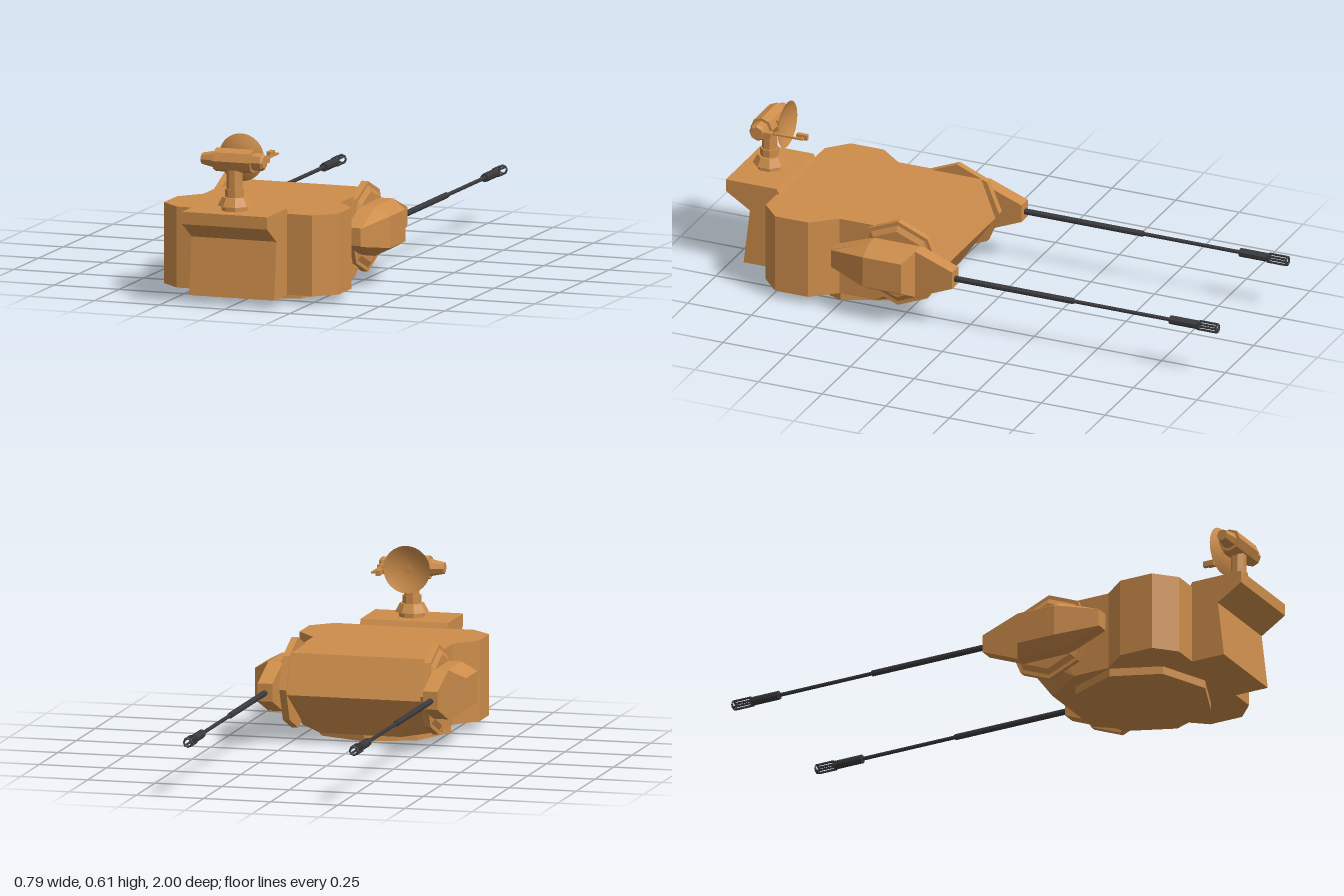
import * as THREE from 'three';
import { ConvexGeometry } from 'three/addons/geometries/ConvexGeometry.js';

const paint = new THREE.MeshStandardMaterial({ color: 0xcd8d4b, flatShading: true });
const dishPaint = new THREE.MeshStandardMaterial({ color: 0xcd8d4b, side: THREE.DoubleSide });
const gunmetal = new THREE.MeshStandardMaterial({ color: 0x3a3a3d, flatShading: true });

function add(parent, name, geometry, material = paint, x = 0, y = 0, z = 0) {
  const mesh = new THREE.Mesh(geometry, material);
  mesh.name = name;
  mesh.position.set(x, y, z);
  parent.add(mesh);
  return mesh;
}

const box = (w, h, d) => new THREE.BoxGeometry(w, h, d);
const hull = (pts) => new ConvexGeometry(pts.map((p) => new THREE.Vector3(...p)));
const mirrorX = (pts) => pts.flatMap(([x, y, z]) => [[x, y, z], [-x, y, z]]);
const shapeOf = (pts) => new THREE.Shape(pts.map((p) => new THREE.Vector2(...p)));

// Side profile given as [z, y], extruded from x0 to x1
function sideExtrude(pts, x0, x1) {
  const flipped = pts.map(([z, y]) => [-z, y]);
  const g = new THREE.ExtrudeGeometry(shapeOf(flipped), { depth: x1 - x0, bevelEnabled: false });
  return g.rotateY(Math.PI / 2).translate(x0, 0, 0);
}

// Eight-sided drum along x from x0 to x1
function drumX(x0, r0, x1, r1) {
  const g = new THREE.CylinderGeometry(r1, r0, x1 - x0, 8);
  return g.rotateZ(-Math.PI / 2).translate((x0 + x1) / 2, 0, 0);
}

function createHull(parent) {
  // Rear hull with swollen, chamfered cheeks
  const half = [[0.26, 0.4], [0.26, 0.51], [0.335, 0.6], [0.335, 0.73], [0.26, 0.8]];
  const outline = [...half, ...half.map(([x, z]) => [-x, z]).reverse()];
  const rear = new THREE.ExtrudeGeometry(shapeOf(outline.map(([x, z]) => [x, -z])), { depth: 0.295, bevelEnabled: false });
  rear.rotateX(-Math.PI / 2);
  add(parent, 'hullRear', rear, paint, 0, 0.03, 0);

  // Wedge nose, sloping in above and below the lip
  add(parent, 'hullNose', hull(mirrorX([
    [0.26, 0.325, 0.4], [0.26, 0.03, 0.4], [0.26, 0.325, 0.18],
    [0.25, 0.18, 0.125], [0.15, 0.03, 0.22], [0.26, 0.03, 0.37],
  ])));

  // Overhanging rear bustle
  add(parent, 'bustle', sideExtrude([
    [0.79, 0.03], [0.93, 0.03], [0.905, 0.24], [1, 0.3], [1, 0.345], [0.8, 0.345], [0.79, 0.325],
  ], -0.163, 0.163));

  add(parent, 'turretRing', new THREE.CylinderGeometry(0.253, 0.253, 0.03, 8), paint, 0, 0.015, 0.51);
}

function createGun(side) {
  const gun = new THREE.Group();
  gun.name = side > 0 ? 'leftGun' : 'rightGun';

  // Trunnion discs
  const place = (name, g) => add(gun, name, g, paint, 0, 0.2, 0.275);
  const s = (a, ra, b, rb) => (side > 0 ? drumX(a, ra, b, rb) : drumX(-b, rb, -a, ra));
  place('trunnionDisc', s(0.25, 0.165, 0.275, 0.165));
  place('trunnionHub', s(0.275, 0.15, 0.286, 0.13));

  // Tapered cradle with an armoured blister outside
  const x0 = side > 0 ? 0.28 : -0.335;
  add(gun, 'cradle', sideExtrude([
    [0.51, 0.17], [0.36, 0.11], [0.18, 0.11], [0.035, 0.17],
    [0.035, 0.235], [0.18, 0.29], [0.36, 0.29], [0.51, 0.235],
  ].reverse(), x0, x0 + 0.055));
  const blister = [];
  for (const v of [-1, 1]) {
    blister.push(
      [side * 0.335, 0.2 + v * 0.033, 0.51], [side * 0.335, 0.2 + v * 0.09, 0.36],
      [side * 0.335, 0.2 + v * 0.09, 0.18], [side * 0.393, 0.2 + v * 0.058, 0.36],
      [side * 0.393, 0.2 + v * 0.058, 0.21],
    );
  }
  add(gun, 'blister', hull(blister));

  // Stepped barrel: [name, rear z, front z, radius]
  const x = side * 0.309;
  for (const [name, za, zb, r] of [
    ['barrelSleeve', 0.05, -0.43, 0.011],
    ['barrel', -0.43, -0.82, 0.007],
    ['flashHider', -0.81, -0.925, 0.016],
  ]) {
    const g = new THREE.CylinderGeometry(r, r, za - zb, 8).rotateX(Math.PI / 2).rotateZ(Math.PI / 8);
    add(gun, name, g, gunmetal, x, 0.2, (za + zb) / 2);
  }
  // Open muzzle cage
  for (const dx of [-1, 1]) for (const dy of [-1, 1]) {
    add(gun, 'muzzleBar', box(0.006, 0.006, 0.075), gunmetal, x + dx * 0.011, 0.2 + dy * 0.011, -0.9575);
  }
  const ring = new THREE.TorusGeometry(0.015, 0.004, 4, 8);
  add(gun, 'muzzleRing', ring, gunmetal, x, 0.2, -0.996);
  return gun;
}

function createRadar() {
  const radar = new THREE.Group();
  radar.name = 'radar';
  radar.position.set(0, 0, 0.9);

  // Pedestal tiers: [bottom y, bottom radius, top y, top radius]
  for (const [ya, ra, yb, rb] of [
    [0.34, 0.047, 0.365, 0.047], [0.363, 0.061, 0.394, 0.044],
    [0.394, 0.034, 0.423, 0.034], [0.423, 0.028, 0.51, 0.028],
  ]) {
    const tier = add(radar, 'pedestalTier', new THREE.CylinderGeometry(rb, ra, yb - ya, 8), paint, 0, (ya + yb) / 2, 0);
    tier.rotation.y = Math.PI / 8;
  }

  // Sideways drum housing
  const y = 0.526;
  for (const [name, ...d] of [
    ['housing', -0.07, 0.043, 0.073, 0.043],
    ['taperedEnd', -0.123, 0.021, -0.07, 0.032],
    ['endCap', 0.073, 0.032, 0.108, 0.032],
    ['endBevel', 0.108, 0.032, 0.117, 0.025],
  ]) add(radar, name, drumX(...d), paint, 0, y, 0);

  // Shallow dish with its mount
  const profile = [];
  for (let i = 0; i <= 8; i++) {
    const t = i / 8;
    profile.push(new THREE.Vector2(0.087 * t, 0.022 * t * t));
  }
  const dish = new THREE.LatheGeometry(profile, 32).rotateX(-Math.PI / 2);
  add(radar, 'dish', dish, dishPaint, 0, y, -0.048);
  add(radar, 'dishMount', box(0.05, 0.04, 0.03), paint, 0, y, -0.034);

  // Feed arm and horn
  add(radar, 'armRoot', box(0.022, 0.018, 0.04), paint, 0.104, y, -0.035);
  add(radar, 'feedArm', box(0.007, 0.007, 0.13), paint, 0.1, y + 0.003, -0.11);
  add(radar, 'feedLink', box(0.025, 0.007, 0.007), paint, 0.091, y + 0.003, -0.17);
  add(radar, 'feedHorn', box(0.016, 0.02, 0.042), paint, 0.077, y + 0.003, -0.163);
  return radar;
}

export function createModel() {
  const model = new THREE.Group();
  model.name = 'gunTurret';
  createHull(model);
  model.add(createGun(1), createGun(-1), createRadar());
  return model;
}
